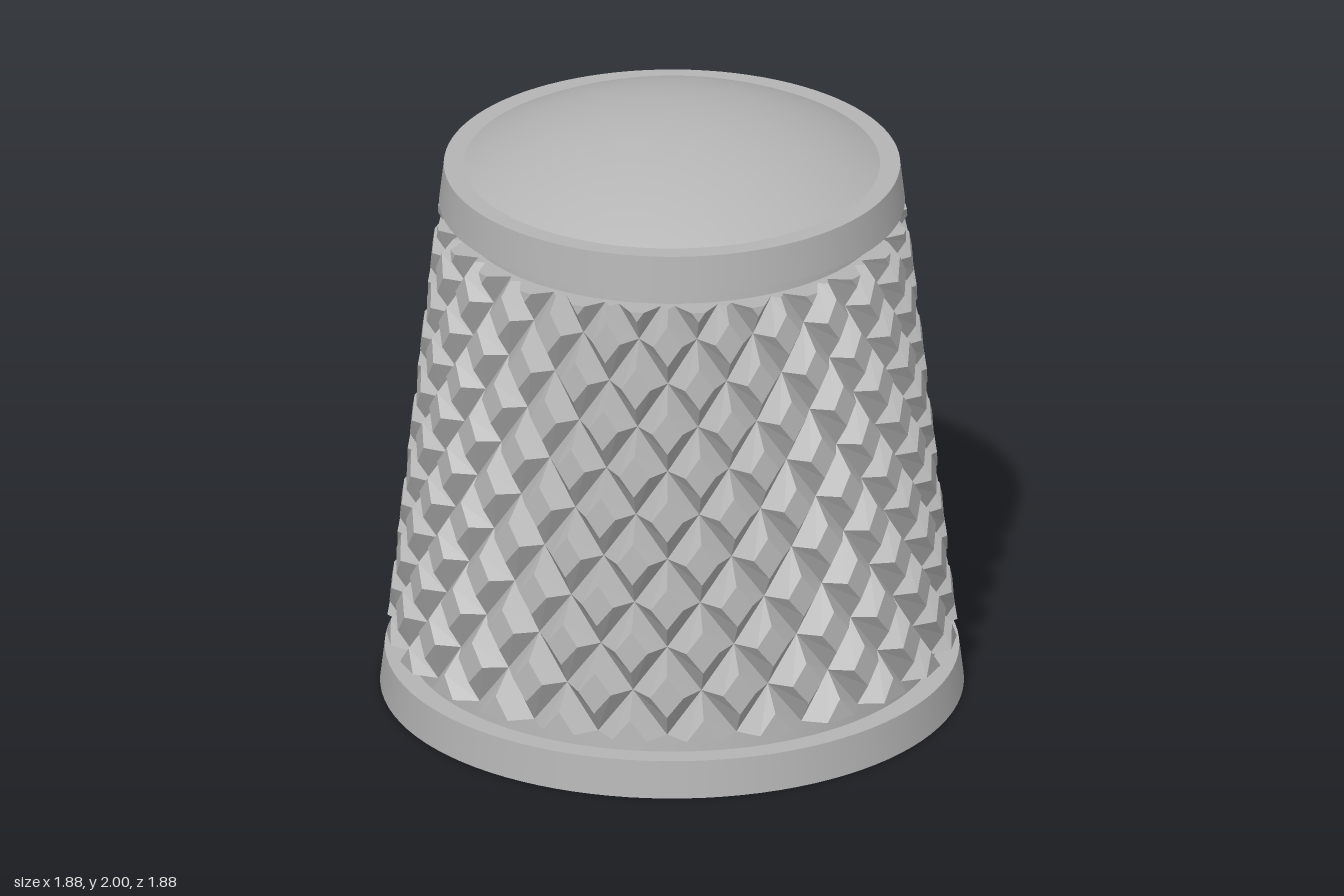
import * as THREE from 'three';

const BOTTOM = 0.19, TOP = 1.63;      // height range of the knurled grip
const COUNT = 24, HALF_H = 0.1475;    // studs per row, half height of one stud
const HALF_A = Math.PI / COUNT;       // half angle of one stud
const FLAT = 0.46, DEPTH = 0.06;      // size of the flat face, depth of the grooves

const outerRadius = (y) => 0.92 - (y - BOTTOM) * (0.16 / (TOP - BOTTOM));
const coreRadius = (y) => 0.85 - (y - 0.125) * (0.175 / 1.565);
const polar = (a, y, r) => new THREE.Vector3(Math.sin(a) * r, y, Math.cos(a) * r);

// Keep the part of a polygon on one side of a horizontal plane
function clip(poly, limit, sign) {
  const out = [];
  poly.forEach((p, i) => {
    const q = poly[(i + 1) % poly.length];
    const dp = (limit - p.y) * sign, dq = (limit - q.y) * sign;
    if (dp >= 0) out.push(p);
    if ((dp > 0 && dq < 0) || (dp < 0 && dq > 0)) {
      const c = p.clone().lerp(q, dp / (dp - dq));
      c.y = limit;
      out.push(c);
    }
  });
  return out;
}

// Diamond studs with flat faces, trimmed level at both ends
function knurlGeometry() {
  const pos = [];
  const fan = (poly) => {
    for (let i = 1; i < poly.length - 1; i++) {
      for (const p of [poly[0], poly[i], poly[i + 1]]) pos.push(p.x, p.y, p.z);
    }
  };
  const toCore = (p) => polar(Math.atan2(p.x, p.z), p.y, coreRadius(p.y) - 0.01);
  const addFace = (face) => {
    const poly = clip(clip(face, TOP, 1), BOTTOM, -1);
    if (poly.length < 3) return;
    fan(poly);
    // End walls from the trimmed edge in to the core
    poly.forEach((p, i) => {
      const q = poly[(i + 1) % poly.length];
      for (const limit of [BOTTOM, TOP]) {
        if (Math.abs(p.y - limit) < 1e-6 && Math.abs(q.y - limit) < 1e-6) {
          fan([q, p, toCore(p), toCore(q)]);
        }
      }
    });
  };
  const corners = [[1, 0], [0, 1], [-1, 0], [0, -1]];
  for (let row = 0; row <= 10; row++) {
    const y = BOTTOM + row * HALF_H;
    for (let i = 0; i < COUNT; i++) {
      const a = (2 * i + (row % 2)) * HALF_A;
      const base = corners.map(([u, v]) => {
        const cy = y + v * HALF_H;
        return polar(a + u * HALF_A, cy, outerRadius(cy) - DEPTH);
      });
      const face = corners.map(([u, v]) => {
        const cy = y + v * HALF_H * FLAT;
        const r = outerRadius(cy) * (v ? Math.cos(HALF_A * FLAT) : 1);
        return polar(a + u * HALF_A * FLAT, cy, r);
      });
      addFace(face);
      for (let k = 0; k < 4; k++) {
        const n = (k + 1) % 4;
        addFace([base[k], base[n], face[n], face[k]]);
      }
    }
  }
  const geo = new THREE.BufferGeometry();
  geo.setAttribute('position', new THREE.Float32BufferAttribute(pos, 3));
  geo.computeVertexNormals();
  return geo;
}

export function createModel() {
  const model = new THREE.Group();
  const grey = new THREE.MeshStandardMaterial({ color: 0xb4b4b4 });
  grey.name = 'grey';

  const addLathe = (parent, name, points) => {
    const pts = points.map(([r, y]) => new THREE.Vector2(r, y));
    const mesh = new THREE.Mesh(new THREE.LatheGeometry(pts, 96), grey);
    mesh.name = name;
    parent.add(mesh);
  };
  // One lathe per straight profile segment keeps the edges crisp
  const addTurned = (name, profile) => {
    const part = new THREE.Group();
    part.name = name;
    for (let i = 0; i < profile.length - 1; i++) {
      addLathe(part, name + 'Face' + (i + 1), [profile[i], profile[i + 1]]);
    }
    model.add(part);
  };

  addTurned('shaftHole', [[0, 0.63], [0.58, 0.63], [0.58, 0]]);
  addTurned('baseRing', [[0.58, 0], [0.94, 0], [0.925, 0.125], [0.85, 0.125]]);
  addTurned('core', [[0.85, 0.125], [0.675, 1.69]]);
  addTurned('topRing', [[0.675, 1.69], [0.75, 1.69], [0.735, 1.82], [0.67, 1.82]]);

  // Shallow spherical dome
  const rim = 0.67, rise = 0.18;
  const R = (rim * rim + rise * rise) / (2 * rise);
  const arc = Math.asin(rim / R);
  const dome = [];
  for (let i = 0; i <= 16; i++) {
    const t = arc * (1 - i / 16);
    dome.push([R * Math.sin(t), 2 - R + R * Math.cos(t)]);
  }
  addLathe(model, 'dome', dome);

  const grip = new THREE.Mesh(knurlGeometry(), grey);
  grip.name = 'knurledGrip';
  model.add(grip);
  return model;
}
